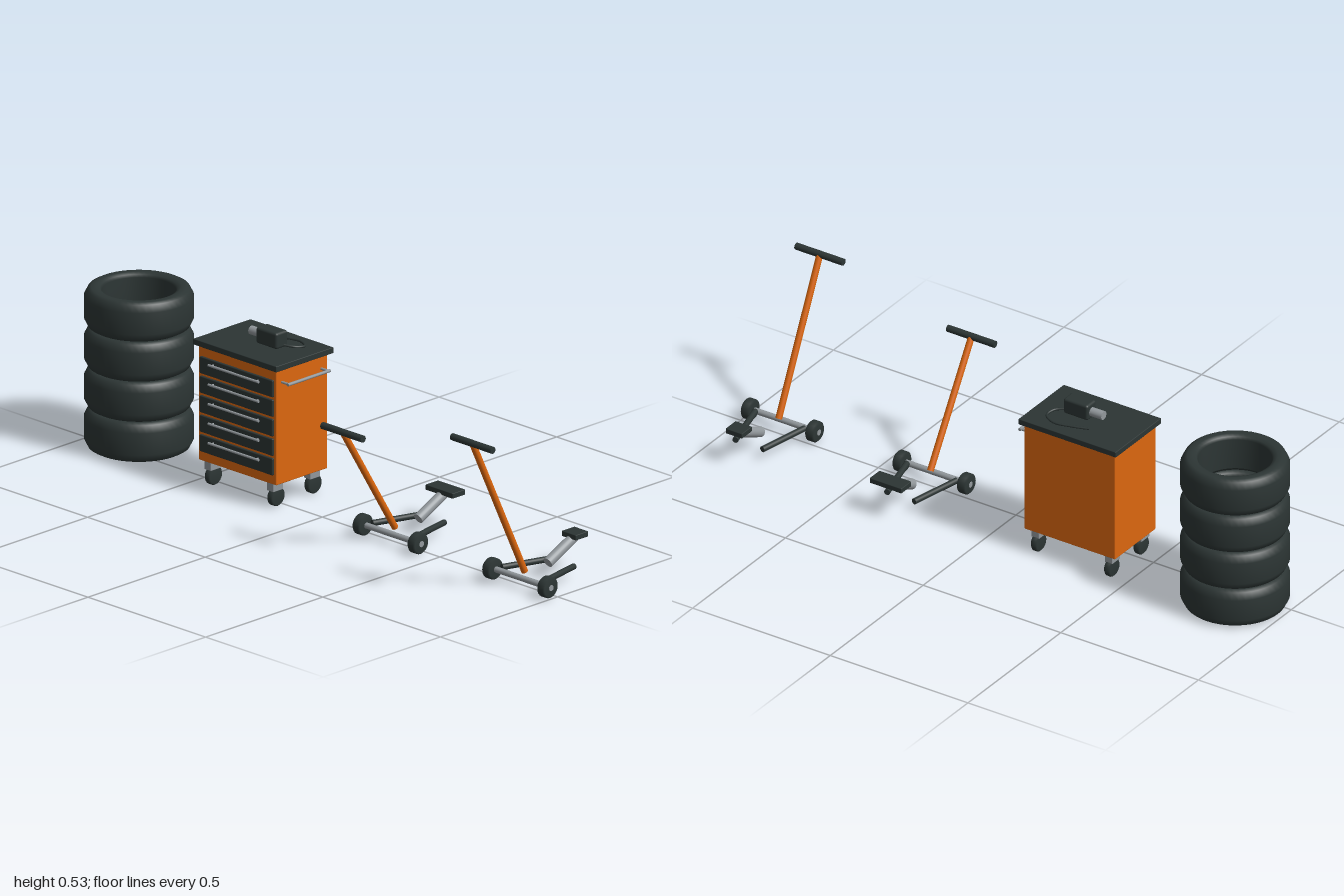
import * as THREE from 'three';
import { RoundedBoxGeometry } from 'three/addons/geometries/RoundedBoxGeometry.js';

const V = (x, y, z) => new THREE.Vector3(x, y, z);

export function createModel() {
  const mat = (name, color) => Object.assign(new THREE.MeshStandardMaterial({ color }), { name });
  const rubber = mat('charcoal', 0x2c3534);
  const orange = mat('orange paint', 0xdc670f);
  const metal = mat('grey metal', 0x92989c);

  const group = (name, parent) => {
    const g = new THREE.Group();
    g.name = name;
    if (parent) parent.add(g);
    return g;
  };
  const add = (parent, name, geo, material) => {
    const m = new THREE.Mesh(geo, material);
    m.name = name;
    parent.add(m);
    return m;
  };
  // Rounded box given by its limits on each axis
  const box = (parent, name, material, [x0, x1], [y0, y1], [z0, z1], r = 0.003) => {
    const m = add(parent, name, new RoundedBoxGeometry(x1 - x0, y1 - y0, z1 - z0, 2, r), material);
    m.position.set((x0 + x1) / 2, (y0 + y1) / 2, (z0 + z1) / 2);
    return m;
  };
  // Round bar between two points
  const bar = (parent, name, material, a, b, r, sides = 20) => {
    const m = add(parent, name, new THREE.CylinderGeometry(r, r, a.distanceTo(b), sides), material);
    m.position.copy(a).lerp(b, 0.5);
    m.quaternion.setFromUnitVectors(V(0, 1, 0), b.clone().sub(a).normalize());
    return m;
  };
  // Wheel with rounded shoulders, axle along x
  const wheel = (parent, name, x, y, z, r, w) => {
    const h = w / 2, c = r * 0.15;
    const pts = [[0, -h], [r - c, -h], [r, c - h], [r, h - c], [r - c, h], [0, h]]
      .map(([a, b]) => new THREE.Vector2(a, b));
    const m = add(parent, name, new THREE.LatheGeometry(pts, 24), rubber);
    m.rotation.z = Math.PI / 2;
    m.position.set(x, y, z);
  };

  const model = group('garageSet');

  // Stack of four tyres
  const tyres = group('tyreStack', model);
  tyres.position.set(-0.833, 0, -0.054);
  const half = [[0.112, 0.05], [0.117, 0.058], [0.128, 0.063], [0.144, 0.063], [0.155, 0.057], [0.166, 0.035]];
  const mirrored = half.map(([r, y]) => [r, -y]);
  const ring = [...mirrored, ...half.slice().reverse(), mirrored[0]].map(([r, y]) => new THREE.Vector2(r, y));
  const tyreGeo = new THREE.LatheGeometry(ring, 48);
  for (let i = 0; i < 4; i++) add(tyres, 'tyre', tyreGeo, rubber).position.y = 0.066 + i * 0.1285;

  // Tool cabinet
  const cabinet = group('toolCabinet', model);
  const cx = -0.305;
  box(cabinet, 'cabinetBody', orange, [cx - 0.165, cx + 0.165], [0.08, 0.449], [-0.163, 0.056]);
  box(cabinet, 'worktop', rubber, [cx - 0.177, cx + 0.177], [0.448, 0.467], [-0.177, 0.068], 0.002);
  for (let i = 0; i < 5; i++) {
    const top = 0.415 - i * 0.0625;
    box(cabinet, 'drawer', rubber, [cx - 0.155, cx + 0.155], [top - 0.054, top], [0.05, 0.063]);
    bar(cabinet, 'drawerHandle', metal, V(cx - 0.107, top - 0.014, 0.073), V(cx + 0.107, top - 0.014, 0.073), 0.004, 12);
    for (const s of [-1, 1])
      bar(cabinet, 'handleMount', metal, V(cx + s * 0.095, top - 0.014, 0.06), V(cx + s * 0.095, top - 0.014, 0.073), 0.003, 8);
  }

  // Push handle on the side
  bar(cabinet, 'sideHandle', metal, V(-0.109, 0.406, -0.142), V(-0.109, 0.406, 0.038), 0.005, 12);
  for (const z of [-0.136, 0.032])
    bar(cabinet, 'sideHandleMount', metal, V(-0.142, 0.406, z), V(-0.109, 0.406, z), 0.004, 12);

  // Casters
  for (const sx of [-1, 1]) for (const z of [0.025, -0.133]) {
    const x = cx + sx * 0.133;
    wheel(cabinet, 'casterWheel', x, 0.031, z, 0.03, 0.022);
    box(cabinet, 'casterFork', metal, [x - 0.014, x + 0.014], [0.052, 0.082], [z - 0.018, z + 0.025], 0.002);
  }

  // Power tool with cable lying on the worktop
  const tool = group('powerTool', model);
  box(tool, 'toolBody', rubber, [-0.313, -0.224], [0.471, 0.523], [-0.079, -0.029], 0.008);
  bar(tool, 'toolSpindle', metal, V(-0.357, 0.495, -0.056), V(-0.312, 0.495, -0.056), 0.014);
  const cable = new THREE.CatmullRomCurve3([
    V(-0.23, 0.479, -0.06), V(-0.195, 0.475, -0.082), V(-0.19, 0.471, -0.115),
    V(-0.23, 0.47, -0.138), V(-0.285, 0.47, -0.128), V(-0.34, 0.47, -0.11)]);
  add(tool, 'toolCable', new THREE.TubeGeometry(cable, 40, 0.004, 8), rubber);

  // Wheeled jacks: long pole, two wheels, rear arms and a lifting pad
  const jack = (name, x, height, padHalf) => {
    const g = group(name, model);
    g.position.x = x;
    bar(g, 'pole', orange, V(0, 0.05, 0.005), V(0, height, 0.227), 0.0105);
    bar(g, 'gripBar', rubber, V(-0.086, height, 0.227), V(0.086, height, 0.227), 0.011);
    bar(g, 'axle', metal, V(-0.134, 0.035, 0.025), V(0.134, 0.035, 0.025), 0.0095);
    for (const s of [-1, 1]) {
      wheel(g, 'wheel', s * 0.117, 0.035, 0.025, 0.033, 0.031);
      bar(g, 'rearArm', rubber, V(s * 0.09, 0.042, 0.012), V(s * 0.049, 0.037, -0.156), 0.0095);
    }
    bar(g, 'liftStrut', metal, V(0, 0.052, -0.094), V(0, 0.106, -0.205), 0.0165);
    box(g, 'liftPad', rubber, [-padHalf, padHalf], [0.107, 0.124], [-0.237, -0.183], 0.002);
  };
  jack('shortJack', 0.314, 0.411, 0.058);
  jack('tallJack', 0.865, 0.516, 0.03);

  return model;
}
